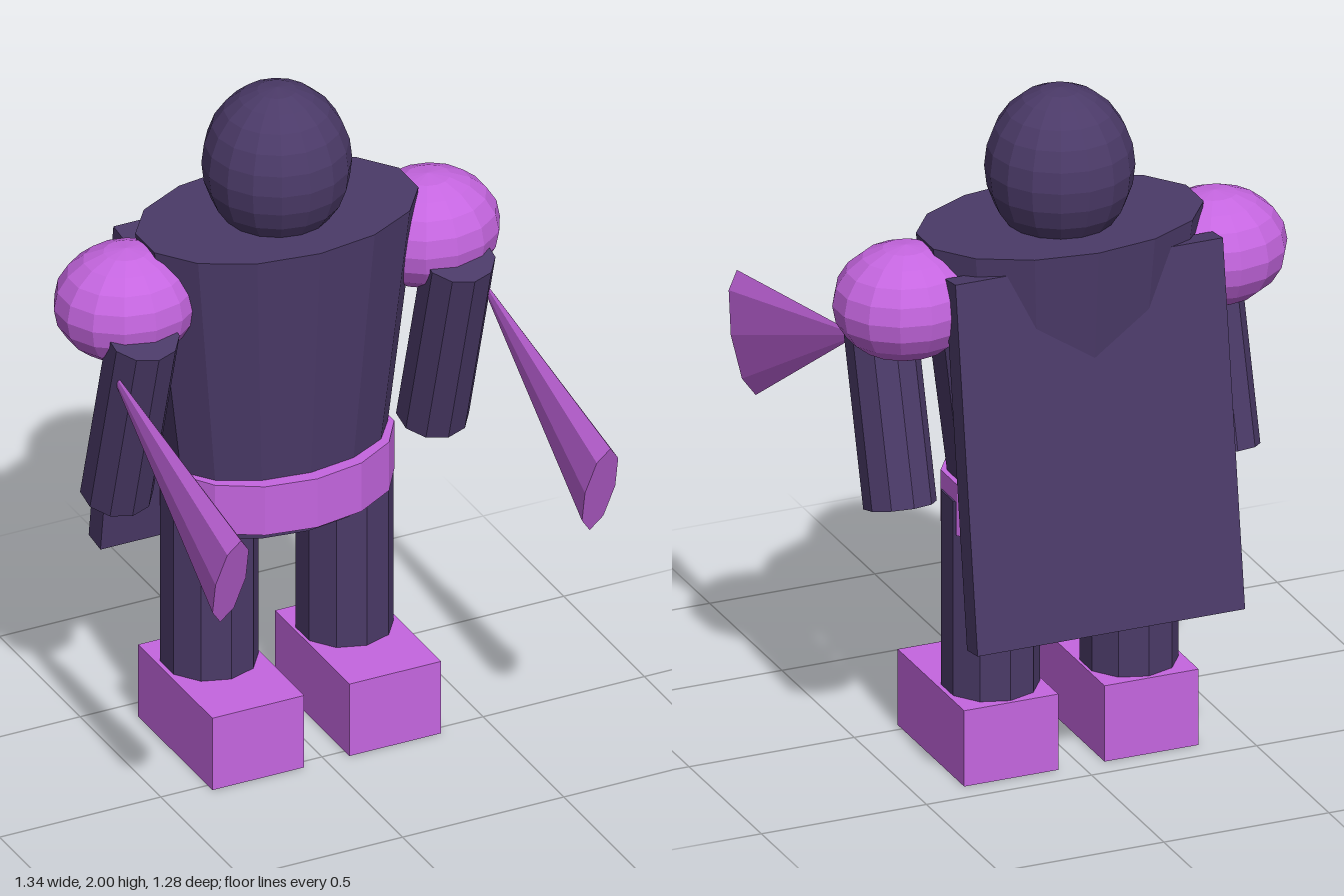
import * as THREE from 'three';

export function createModel() {
  const model = new THREE.Group();
  const dark = new THREE.MeshStandardMaterial({ color: 0x4b3a68, flatShading: true });
  const violet = new THREE.MeshStandardMaterial({ color: 0xc566e0, flatShading: true });
  const Z = -0.28; // depth of the body axis

  function add(name, geometry, material, [x, y, z], tilt = 0) {
    const mesh = new THREE.Mesh(geometry, material);
    mesh.name = name;
    mesh.position.set(x, y, z);
    mesh.rotation.x = tilt;
    model.add(mesh);
    return mesh;
  }

  // Head, slightly taller than wide
  add('head', new THREE.SphereGeometry(0.21, 16, 12).scale(1, 1.12, 1), dark, [0, 1.765, Z]);

  // Tapered oval torso with a belt around the hips
  add('torso', new THREE.CylinderGeometry(0.42, 0.305, 0.925, 14).scale(1, 1, 0.643), dark, [0, 1.1425, Z]);
  add('belt', new THREE.CylinderGeometry(0.345, 0.345, 0.155, 14).scale(1, 1, 0.73), violet, [0, 0.7975, Z]);

  // Stiff cape, leaning away from the back
  add('cape', new THREE.BoxGeometry(0.81, 1.076, 0.074), dark, [0, 1.015, -0.524], 0.143);

  // Paired parts
  for (const [side, s] of [['left', 1], ['right', -1]]) {
    add(side + 'Leg', new THREE.CylinderGeometry(0.138, 0.138, 0.81, 10), dark, [s * 0.21, 0.415, Z]);
    add(side + 'Foot', new THREE.BoxGeometry(0.285, 0.23, 0.46), violet, [s * 0.2125, 0.115, -0.2]);

    const shoulder = new THREE.SphereGeometry(1, 14, 10).rotateY(Math.PI / 2).scale(0.208, 0.168, 0.19);
    add(side + 'Shoulder', shoulder, violet, [s * 0.468, 1.437, Z]);
    add(side + 'Arm', new THREE.CylinderGeometry(0.103, 0.103, 0.605, 10), dark, [s * 0.49, 1.115, -0.212], 0.275);

    // Flattened cone flaring forward from the arm
    const blade = new THREE.ConeGeometry(0.176, 0.832, 8).scale(0.267, 1, 1);
    add(side + 'Blade', blade, violet, [s * 0.573, 1.16, 0.193], -1.193);
  }

  return model;
}
